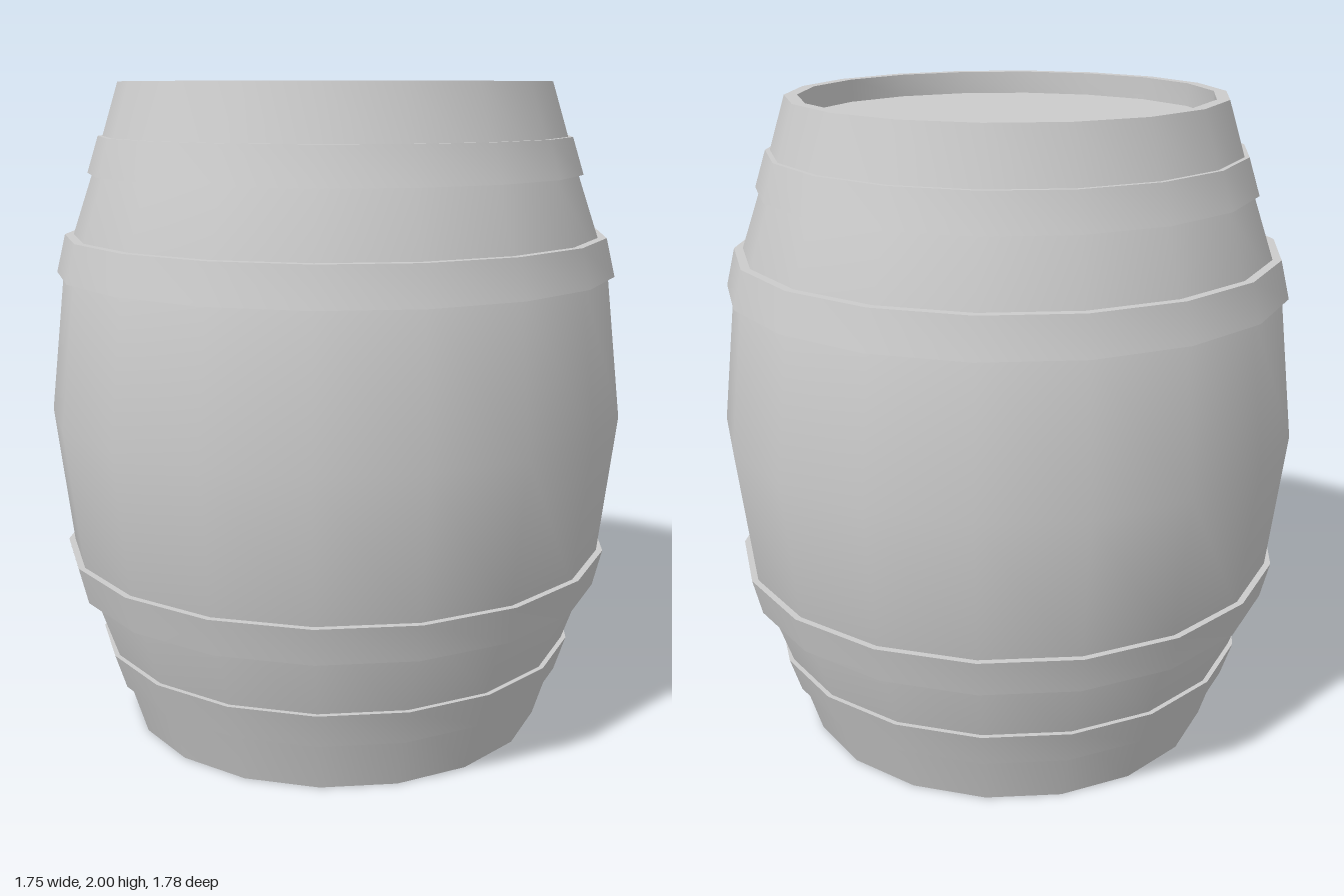
import * as THREE from 'three';
import { toCreasedNormals } from 'three/addons/utils/BufferGeometryUtils.js';

const SIDES = 18;
const RIM = 0.62;    // inner radius of the rim
const RECESS = 0.07; // depth of the heads below the rim

export function createModel() {
  const barrel = new THREE.Group();
  barrel.name = 'barrel';
  const material = new THREE.MeshStandardMaterial({ color: 0xcccccc });

  const add = (name, geometry) => {
    const mesh = new THREE.Mesh(geometry, material);
    mesh.name = name;
    barrel.add(mesh);
    return mesh;
  };

  // Turned part: smooth around, sharp at the profile's corners
  const turn = (profile) => toCreasedNormals(
    new THREE.LatheGeometry(profile.map(([r, y]) => new THREE.Vector2(r, y)), SIDES), 0.5);

  // Bulging staves, from the middle to the top, mirrored for the lower half
  const upper = [[0.838, 1.45], [0.742, 1.73], [0.658, 2], [RIM, 2], [RIM, 2 - RECESS]];
  const lower = upper.map(([r, y]) => [r, 2 - y]).reverse();
  add('staves', turn([...lower, [0.89, 1], ...upper]));

  // Recessed heads at both ends
  for (const top of [true, false]) {
    const disc = new THREE.CircleGeometry(RIM, SIDES, Math.PI / 2);
    disc.rotateX(top ? -Math.PI / 2 : Math.PI / 2);
    disc.translate(0, top ? 2 - RECESS : RECESS, 0);
    add(top ? 'topHead' : 'bottomHead', disc);
  }

  // Hoops: wide edge faces the middle, inner edges sit just inside the staves
  const hoops = [
    { name: 'BellyHoop', y0: 1.43, r0: 0.86, y1: 1.545, r1: 0.832 },
    { name: 'EndHoop', y0: 1.73, r0: 0.757, y1: 1.84, r1: 0.722 },
  ];
  for (const { name, y0, r0, y1, r1 } of hoops) {
    const band = [[r0 - 0.06, y0], [r0, y0], [r1, y1], [r1 - 0.06, y1]];
    add('upper' + name, turn(band));
    add('lower' + name, turn(band.map(([r, y]) => [r, 2 - y]).reverse()));
  }

  return barrel;
}
